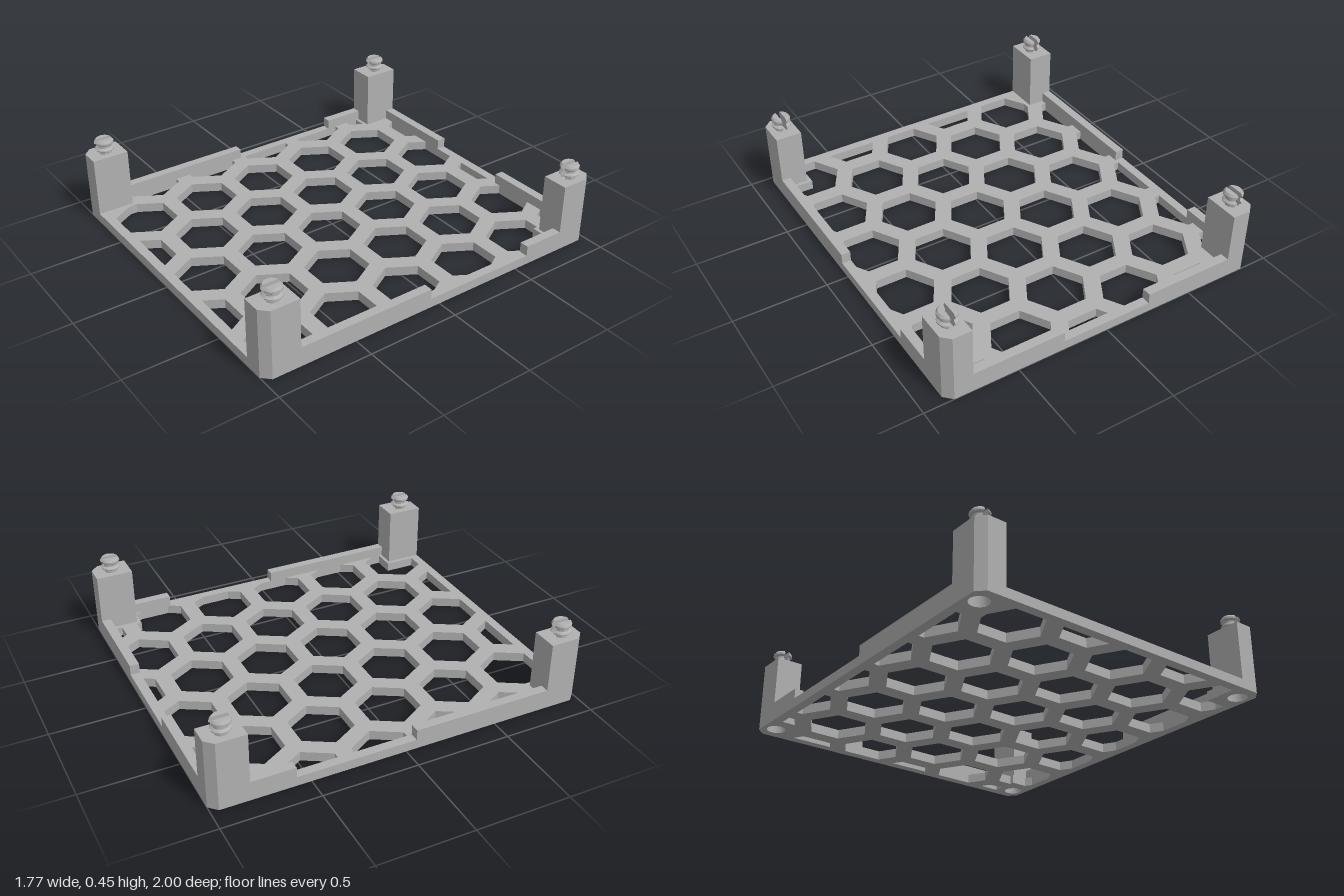
import * as THREE from 'three';
import { toCreasedNormals } from 'three/addons/utils/BufferGeometryUtils.js';

const W = 0.885, L = 1, CH = 0.042;          // half width, half length, corner chamfer
const RIM_X = 0.836, RIM_Z = 0.95;           // inner edge of the frame
const PAD_X = 0.72, PAD_Z = 0.785;           // inner edge of the solid corner pads
const POST_X = 0.743, POST_Z = 0.804;        // inner edge of the posts
const PIN_X = 0.812, PIN_Z = 0.902;
const FLOOR = 0.05, RAIL = 0.105, POST_TOP = 0.37, SOCKET_TOP = 0.09;

// Cut a polygon of [x, z] points along f = 0, dropping f > 0 unless keepAll
function cut(poly, f, keepAll = false) {
  const out = [];
  poly.forEach((p, i) => {
    const q = poly[(i + 1) % poly.length], a = f(p), b = f(q);
    if (keepAll || a <= 0) out.push(p);
    if (a * b < 0) {
      const t = a / (a - b);
      out.push([p[0] + (q[0] - p[0]) * t, p[1] + (q[1] - p[1]) * t]);
    }
  });
  return out;
}

// Remove the corner pad from a hole
function notch(poly, sx, sz) {
  const u = (p) => sx * p[0] - PAD_X, v = (p) => sz * p[1] - PAD_Z;
  if (poly.every((p) => v(p) > 0)) return cut(poly, u);
  if (poly.every((p) => u(p) > 0)) return cut(poly, v);
  const out = [];
  let cornerUsed = false;
  for (const p of cut(cut(poly, u, true), v, true)) {
    if (u(p) > 1e-6 && v(p) > 1e-6) {
      if (!cornerUsed) out.push([sx * PAD_X, sz * PAD_Z]);
      cornerUsed = true;
    } else out.push(p);
  }
  return out;
}

// Regular polygon as [x, z] points
function ring(cx, cz, r, n) {
  return Array.from({ length: n }, (_, i) => {
    const a = (i / n) * Math.PI * 2;
    return [cx + r * Math.cos(a), cz + r * Math.sin(a)];
  });
}

// Upright slab from a plan outline with holes
function slab(outline, holes, y0, y1) {
  const vec = (pts) => pts.map(([x, z]) => new THREE.Vector2(x, -z));
  const shape = new THREE.Shape(vec(outline));
  for (const h of holes) shape.holes.push(new THREE.Path(vec(h)));
  const geo = new THREE.ExtrudeGeometry(shape, { depth: y1 - y0, bevelEnabled: false });
  geo.rotateX(-Math.PI / 2);
  geo.translate(0, y0, 0);
  return toCreasedNormals(geo, 0.5);
}

// Half of the split snap pin: the far side is pressed flat against the slit
function halfPin() {
  const profile = [[0, 0], [0.036, 0], [0.036, 0.012], [0.05, 0.021], [0.05, 0.027], [0.038, 0.037],
    [0.038, 0.049], [0.05, 0.058], [0.05, 0.068], [0.041, 0.08], [0, 0.08]];
  const geo = new THREE.LatheGeometry(profile.map(([r, y]) => new THREE.Vector2(r, y)), 32);
  const pos = geo.attributes.position;
  for (let i = 0; i < pos.count; i++) pos.setX(i, Math.max(pos.getX(i), 0.012));
  return toCreasedNormals(geo, 0.5);
}

export function createModel() {
  const model = new THREE.Group();
  const grey = new THREE.MeshStandardMaterial({ color: 0xb0b0b0 });
  grey.name = 'plainGrey';
  const add = (name, geo, parent = model) => {
    const mesh = new THREE.Mesh(geo, grey);
    mesh.name = name;
    parent.add(mesh);
    return mesh;
  };
  const corners = [[1, 1], [1, -1], [-1, -1], [-1, 1]];

  // Honeycomb floor with pin sockets
  const holes = corners.map(([sx, sz]) => ring(sx * PIN_X, sz * PIN_Z, 0.05, 24));
  const pitch = 0.3705, radius = 0.1645;
  for (let col = 0; col < 6; col++) {
    for (let row = 0; row < 7; row++) {
      const x = -0.888 + col * pitch * Math.sqrt(3) / 2;
      const z = (col % 2 ? -1.04 : -1.226) + row * pitch;
      let hex = ring(x, z, radius, 6);
      for (const s of [1, -1]) {
        hex = cut(hex, (p) => s * p[0] - RIM_X);
        hex = cut(hex, (p) => s * p[1] - RIM_Z);
      }
      if (hex.length < 3) continue;
      hex = notch(hex, Math.sign(x), Math.sign(z));
      // leave out slivers
      const area = THREE.ShapeUtils.area(hex.map(([a, b]) => new THREE.Vector2(a, b)));
      if (hex.length > 2 && Math.abs(area) > 0.0008) holes.push(hex);
    }
  }
  const outline = corners.flatMap(([sx, sz]) => {
    const pair = [[sx * (W - CH), sz * L], [sx * W, sz * (L - CH)]];
    return sx * sz > 0 ? pair : pair.reverse();
  });
  add('honeycombFloor', slab(outline, holes, 0, FLOOR));

  // Raised rails on the sides and back
  const rail = (name, x0, x1, z0, z1) => {
    const geo = new THREE.BoxGeometry(x1 - x0, RAIL - FLOOR, z1 - z0);
    add(name, geo).position.set((x0 + x1) / 2, (RAIL + FLOOR) / 2, (z0 + z1) / 2);
  };
  for (const s of [1, -1]) {
    const side = s > 0 ? 'left' : 'right';
    const [a, b] = s > 0 ? [RIM_X, W] : [-W, -RIM_X];
    rail(side + 'FrontRail', a, b, 0.055, POST_Z);
    rail(side + 'RearRail', a, b, -POST_Z, -0.575);
    const [c, d] = s > 0 ? [0.247, POST_X] : [-POST_X, -0.247];
    rail(side + 'BackRail', c, d, -L, -RIM_Z);
  }

  // Corner posts with a socket below and a split pin on top
  const pin = halfPin();
  for (const [sx, sz] of corners) {
    const post = new THREE.Group();
    post.name = (sz > 0 ? 'front' : 'back') + (sx > 0 ? 'Left' : 'Right') + 'Post';
    model.add(post);
    const plan = [[POST_X, POST_Z], [W, POST_Z], [W, L - CH], [W - CH, L], [POST_X, L]]
      .map(([x, z]) => [sx * x, sz * z]);
    const socket = ring(sx * PIN_X, sz * PIN_Z, 0.05, 24);
    add('postFoot', slab(plan, [socket], FLOOR, SOCKET_TOP), post);
    add('postColumn', slab(plan, [], SOCKET_TOP, POST_TOP), post);
    for (const turn of [0, Math.PI]) {
      const half = add('pinHalf', pin, post);
      half.position.set(sx * PIN_X, POST_TOP, sz * PIN_Z);
      half.rotation.y = turn;
    }
  }
  return model;
}
